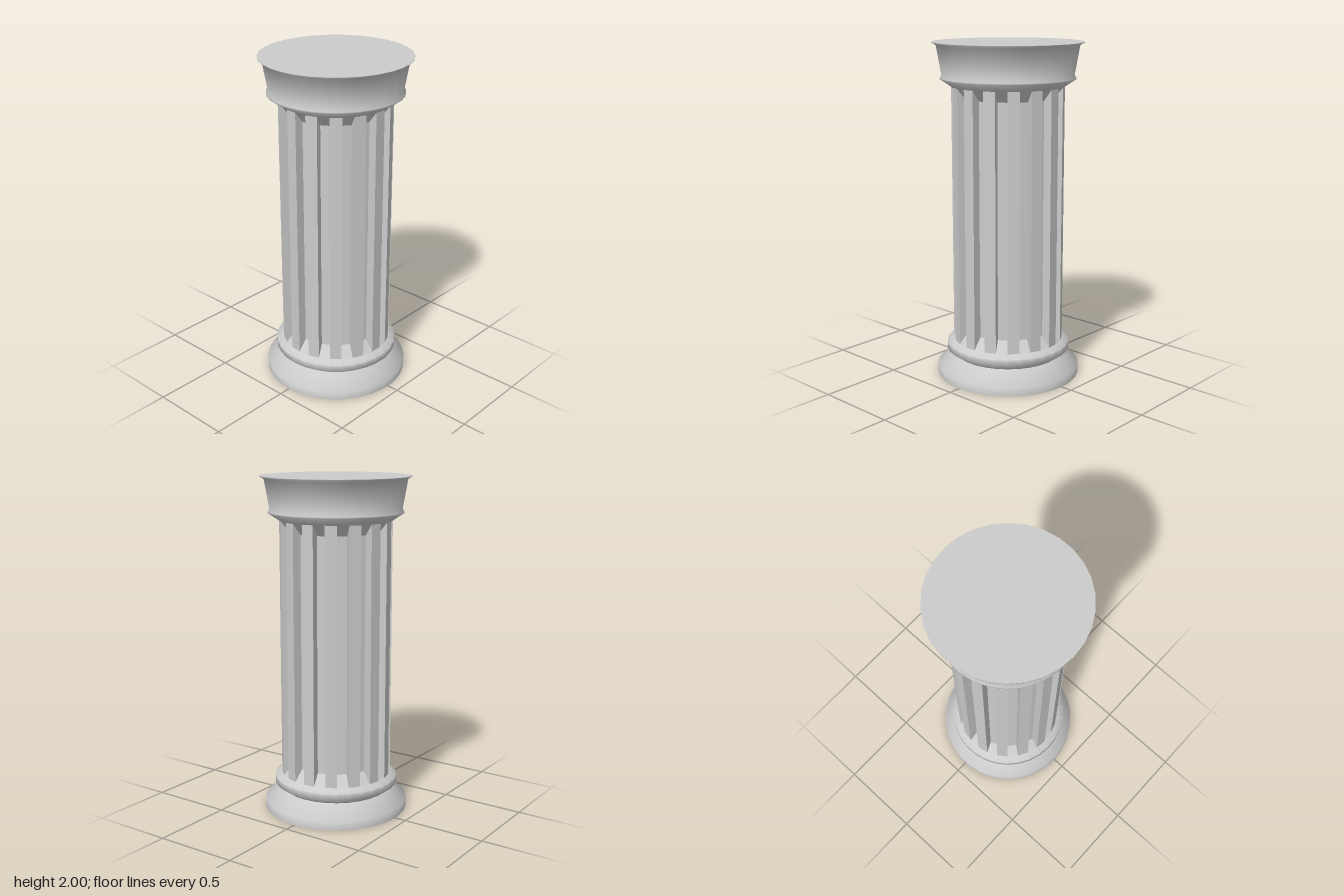
import * as THREE from 'three';
import { toCreasedNormals } from 'three/addons/utils/BufferGeometryUtils.js';

const SIDES = 30;
const STEP = (Math.PI * 2) / SIDES;
const RIDGE = 0.33;   // outer shaft radius
const GROOVE = 0.275; // radius at the bottom of a flute
const LOW = 0.22, HIGH = 1.745, RAMP = 0.065;

const material = new THREE.MeshStandardMaterial({ color: 0xcccccc });

// Turned moulding with a corner of the 30-gon on the x axis
function turned(name, profile) {
  const points = profile.map(([r, y]) => new THREE.Vector2(r, y));
  const lathe = new THREE.LatheGeometry(points, SIDES, Math.PI / 2);
  const mesh = new THREE.Mesh(toCreasedNormals(lathe, Math.PI / 3), material);
  mesh.name = name;
  return mesh;
}

// Shaft whose every second side is sunk into a flute with sloping ends
function flutedShaft() {
  const positions = [];
  const at = (k, r, y) => [r * Math.cos(k * STEP), y, r * Math.sin(k * STEP)];
  const quad = (a, b, c, d) => positions.push(...a, ...b, ...c, ...a, ...c, ...d);

  for (let k = 0; k < SIDES; k++) {
    const n = k + 1;
    const a = at(k, RIDGE, LOW), b = at(n, RIDGE, LOW);
    const c = at(n, RIDGE, HIGH), d = at(k, RIDGE, HIGH);
    if (k % 2 === 1) {
      quad(b, a, d, c); // ridge
      continue;
    }
    const e = at(k, GROOVE, LOW + RAMP), f = at(n, GROOVE, LOW + RAMP);
    const g = at(n, GROOVE, HIGH - RAMP), h = at(k, GROOVE, HIGH - RAMP);
    quad(f, e, h, g); // groove floor
    quad(b, a, e, f); // lower slope
    quad(g, h, d, c); // upper slope
    quad(e, a, d, h); // side walls
    quad(b, f, g, c);
  }
  const geometry = new THREE.BufferGeometry();
  geometry.setAttribute('position', new THREE.Float32BufferAttribute(positions, 3));
  geometry.computeVertexNormals();
  const mesh = new THREE.Mesh(geometry, material);
  mesh.name = 'flutedShaft';
  return mesh;
}

export function createModel() {
  const column = new THREE.Group();
  column.name = 'column';
  column.add(
    turned('base', [
      [0, 0], [0.43, 0], [0.43, 0.053], [0.325, 0.125],
      [0.37, 0.157], [0.37, 0.197], [RIDGE, LOW],
    ]),
    flutedShaft(),
    turned('capital', [
      [RIDGE, HIGH], [0.395, 1.788], [0.395, 1.796], [0.385, 1.812],
      [0.415, 1.982], [0.44, 1.997], [0.44, 2], [0, 2],
    ]),
  );
  return column;
}
